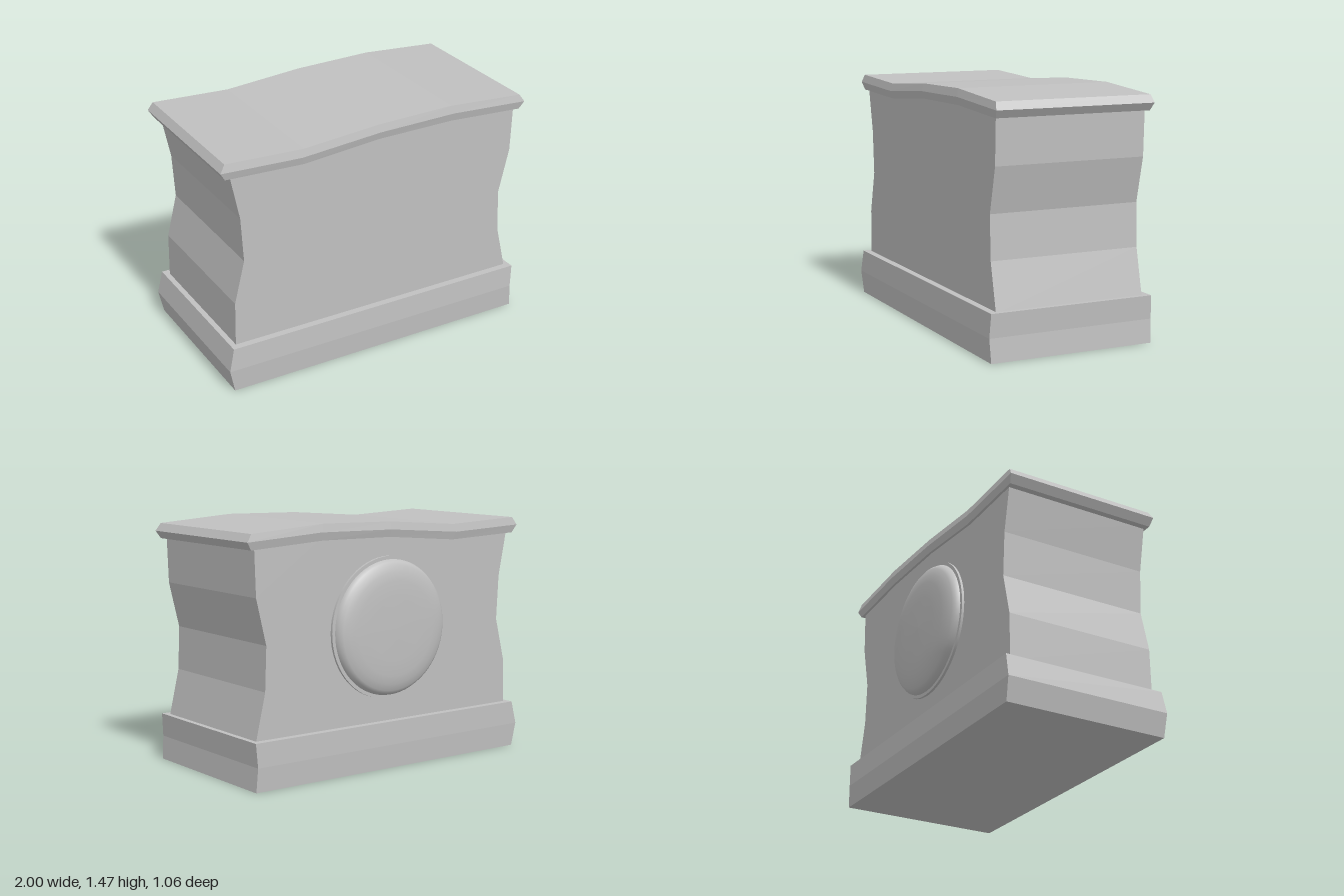
import * as THREE from 'three';

// One horizontal outline: evenly spaced columns along the front, then back again.
// ys holds the height of each column from left to right.
function outline(xl, xr, zBack, zFront, ys) {
  const n = ys.length;
  const row = (z) => ys.map((y, i) => [xl + (xr - xl) * i / (n - 1), y, z]);
  return [...row(zFront), ...row(zBack).reverse()];
}

// Solid through stacked outlines, bottom to top, with closed ends and flat faces
function stack(levels) {
  const pos = [];
  const quad = (a, b, c, d) => pos.push(...a, ...b, ...c, ...a, ...c, ...d);
  const m = levels[0].length;
  for (let k = 0; k < levels.length - 1; k++) {
    for (let j = 0; j < m; j++) {
      const j2 = (j + 1) % m;
      quad(levels[k][j], levels[k][j2], levels[k + 1][j2], levels[k + 1][j]);
    }
  }
  const low = levels[0], top = levels[levels.length - 1];
  for (let i = 0; i < m / 2 - 1; i++) {
    const b = m - 1 - i;
    quad(top[i], top[i + 1], top[b - 1], top[b]);
    quad(low[b], low[b - 1], low[i + 1], low[i]);
  }
  const geo = new THREE.BufferGeometry();
  geo.setAttribute('position', new THREE.Float32BufferAttribute(pos, 3));
  geo.computeVertexNormals();
  return geo;
}

export function createModel() {
  const group = new THREE.Group();
  const stone = new THREE.MeshStandardMaterial({ color: 0xc0c0c0 });
  stone.name = 'grey stone';
  const add = (name, geo) => {
    const mesh = new THREE.Mesh(geo, stone);
    mesh.name = name;
    group.add(mesh);
    return mesh;
  };

  // Plinth, slightly swollen at mid height
  add('plinth', stack([
    outline(-0.97, 0.97, -0.495, 0.523, [0, 0]),
    outline(-1.0, 0.96, -0.5, 0.53, [0.14, 0.14]),
    outline(-0.968, 0.97, -0.495, 0.523, [0.28, 0.28]),
  ]));

  // Wavy lid heights, left to right
  const lidBottom = [1.345, 1.327, 1.368, 1.373, 1.345];
  const lidMiddle = [1.393, 1.373, 1.412, 1.42, 1.39];
  const lidTop = [1.44, 1.42, 1.458, 1.468, 1.435];

  // Waisted body, its top tucked into the lid
  const sides = [
    [-0.935, 0.94, 0.27], [-0.93, 0.875, 0.55], [-0.865, 0.865, 0.81],
    [-0.88, 0.93, 1.08],
  ];
  add('body', stack([
    ...sides.map(([l, r, y]) => outline(l, r, -0.45, 0.48, Array(5).fill(y))),
    outline(-0.938, 0.94, -0.45, 0.48, lidBottom.map((y) => y + 0.02)),
  ]));

  // Lid with bevelled rim
  add('lid', stack([
    outline(-0.97, 0.97, -0.465, 0.495, lidBottom),
    outline(-1.0, 1.0, -0.477, 0.506, lidMiddle),
    outline(-0.97, 0.97, -0.467, 0.495, lidTop),
  ]));

  // Round boss on the back, lathed around z
  const onBack = (name, geo) => {
    const mesh = add(name, geo);
    mesh.rotation.x = -Math.PI / 2;
    mesh.position.set(0, 0.837, -0.45);
  };
  onBack('bossRim', new THREE.CylinderGeometry(0.422, 0.422, 0.03, 64));
  const profile = [[0.405, 0], [0.4, 0.02], [0.388, 0.04], [0.37, 0.054],
    [0.33, 0.066], [0.28, 0.075], [0.18, 0.079], [0, 0.081]];
  onBack('bossDome', new THREE.LatheGeometry(
    profile.map(([r, h]) => new THREE.Vector2(r, h)), 64));

  return group;
}
